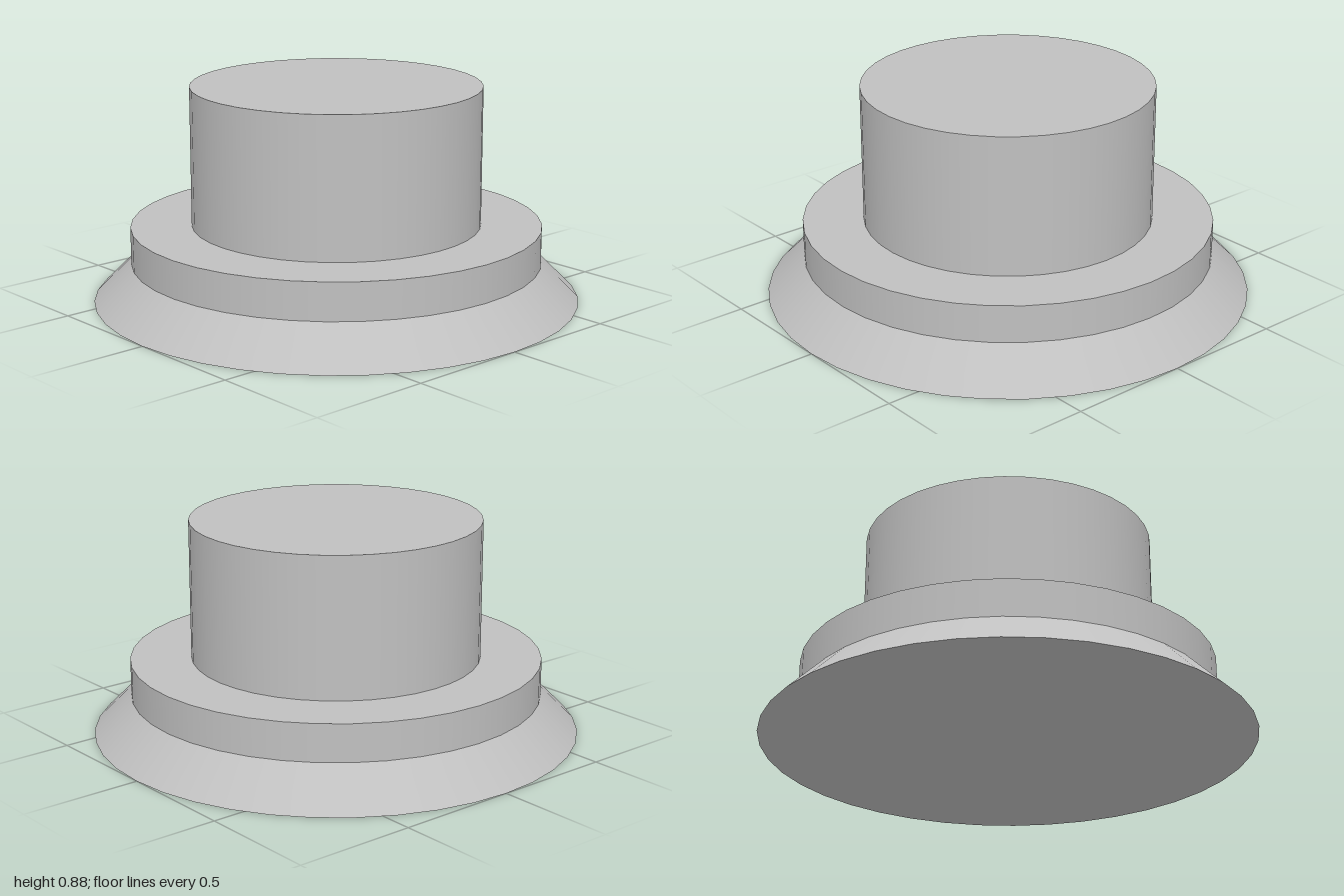
import * as THREE from 'three';

const SIDES = 40;

export function createModel() {
  const group = new THREE.Group();
  const grey = new THREE.MeshStandardMaterial({ color: 0xc0c0c0 });
  grey.name = 'plain grey';

  // Solid of revolution from a section of the stepped profile
  const addTier = (name, bottomRadius, topRadius, y0, y1) => {
    const geometry = new THREE.CylinderGeometry(topRadius, bottomRadius, y1 - y0, SIDES);
    const mesh = new THREE.Mesh(geometry, grey);
    mesh.name = name;
    mesh.position.y = (y0 + y1) / 2;
    group.add(mesh);
  };

  addTier('flaredBase', 1, 0.845, 0, 0.155); // sloped skirt
  addTier('collar', 0.845, 0.845, 0.155, 0.309); // straight step
  addTier('post', 0.595, 0.595, 0.309, 0.885); // upper cylinder

  return group;
}
